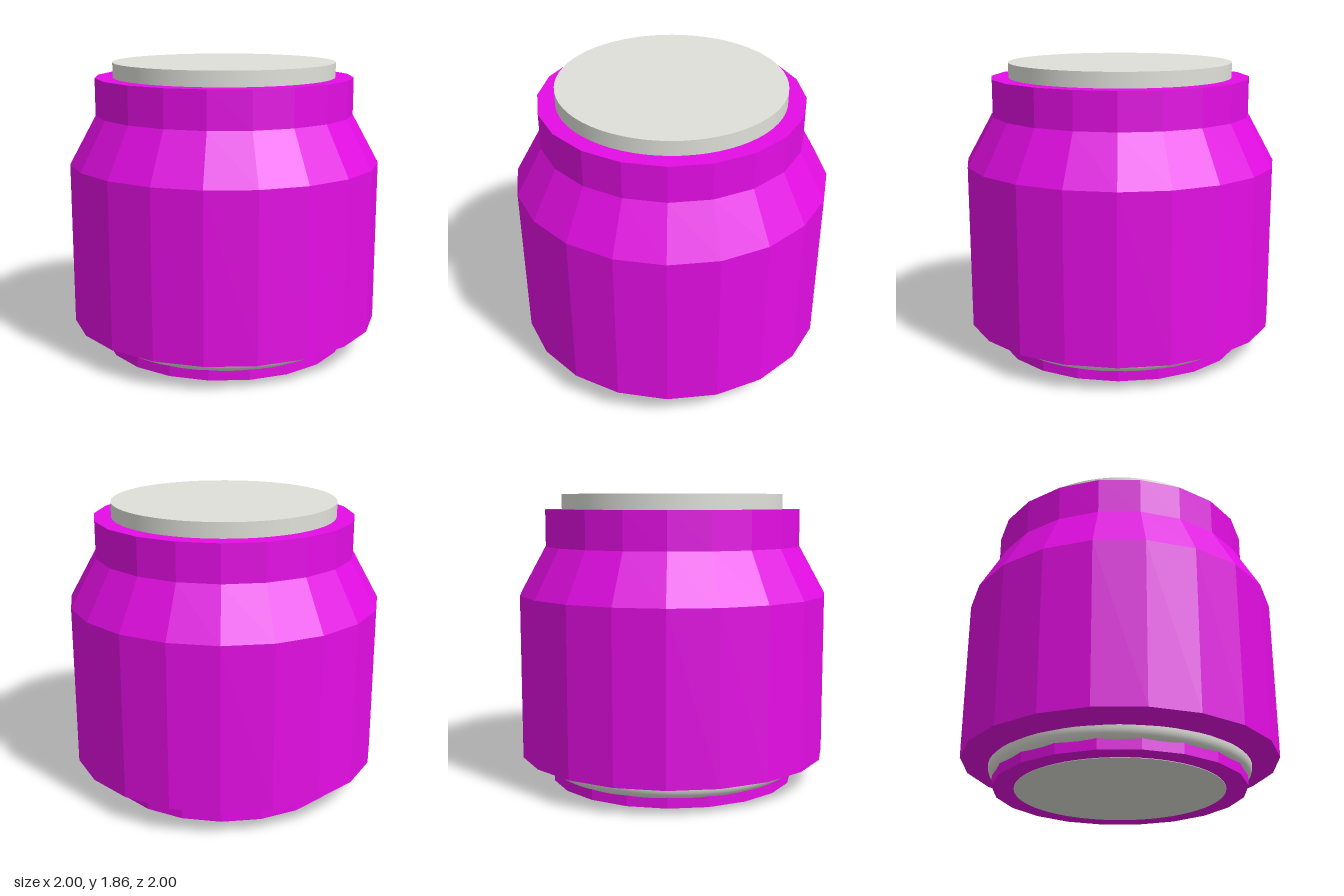
import * as THREE from 'three';

const purple = new THREE.MeshStandardMaterial({ color: 0xe40de4 });
purple.name = 'purple';
const silver = new THREE.MeshStandardMaterial({ color: 0xe0e0da });
silver.name = 'silver';

// Turned part from a profile of [radius, y] points, listed bottom to top
function turned(name, profile, sides, material, faceted) {
  let geometry = new THREE.LatheGeometry(profile.map(([r, y]) => new THREE.Vector2(r, y)), sides);
  if (faceted) {
    geometry = geometry.toNonIndexed();
    geometry.computeVertexNormals();
  }
  const mesh = new THREE.Mesh(geometry, material);
  mesh.name = name;
  return mesh;
}

// Smooth round disc or plug
function disc(name, radius, bottom, top) {
  const mesh = new THREE.Mesh(new THREE.CylinderGeometry(radius, radius, top - bottom, 64), silver);
  mesh.position.y = (bottom + top) / 2;
  mesh.name = name;
  return mesh;
}

export function createModel() {
  const group = new THREE.Group();
  group.name = 'canister';

  // Twenty-sided shell with sloping shoulder and neck
  group.add(turned('body', [
    [0, 0.135], [0.83, 0.135], [1, 0.175], [1, 1.222], [0.83, 1.53], [0.83, 1.765], [0, 1.765],
  ], 20, purple, true));

  // Faceted foot; its corners break through the rounded collar
  group.add(turned('foot', [
    [0, 0.003], [0.797, 0.003], [0.797, 0.085], [0, 0.085],
  ], 20, purple, true));

  // Rounded collar between foot and body
  const curve = new THREE.SplineCurve([
    new THREE.Vector2(0.74, 0.058), new THREE.Vector2(0.785, 0.062),
    new THREE.Vector2(0.81, 0.085), new THREE.Vector2(0.822, 0.11), new THREE.Vector2(0.826, 0.137),
  ]);
  group.add(turned('collar', curve.getPoints(12).map((p) => [p.x, p.y]), 64, silver, false));

  group.add(disc('topCap', 0.715, 1.75, 1.86));
  group.add(disc('bottomPlate', 0.66, 0, 0.008));
  return group;
}
